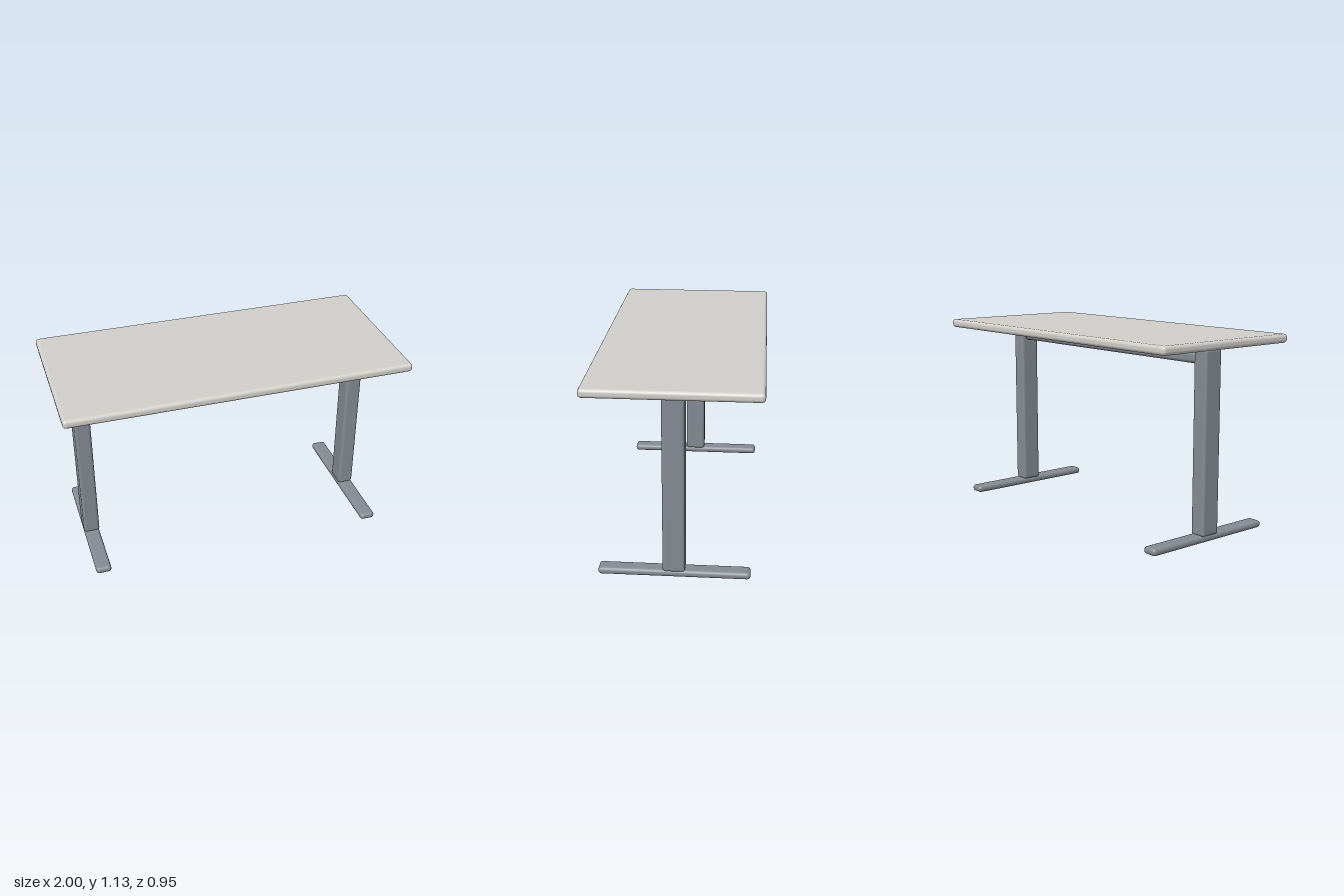
import * as THREE from 'three';
import { RoundedBoxGeometry } from 'three/addons/geometries/RoundedBoxGeometry.js';

export function createModel() {
  const desk = new THREE.Group();
  desk.name = 'desk';

  const laminate = new THREE.MeshStandardMaterial({ color: 0xd0cfca });
  laminate.name = 'pale laminate';
  const steel = new THREE.MeshStandardMaterial({ color: 0x858b94 });
  steel.name = 'grey steel';

  // Soft-edged block placed by its centre
  function block(name, material, [w, h, d], [x, y, z], radius) {
    const mesh = new THREE.Mesh(new RoundedBoxGeometry(w, h, d, 5, radius), material);
    mesh.name = name;
    mesh.position.set(x, y, z);
    desk.add(mesh);
  }

  // Top, floating slightly above the frame
  block('tabletop', laminate, [2, 0.05, 0.946], [0, 1.105, 0], 0.02);

  // Column and foot at each end
  for (const [side, s] of [['left', 1], ['right', -1]]) {
    block(side + 'Leg', steel, [0.095, 1.04, 0.124], [s * 0.843, 0.553, 0], 0.018);
    block(side + 'Foot', steel, [0.09, 0.041, 0.84], [s * 0.843, 0.0205, 0], 0.019);
  }

  // Rail between the columns
  block('crossRail', steel, [1.64, 0.061, 0.061], [0, 1.013, 0], 0.02);

  return desk;
}
